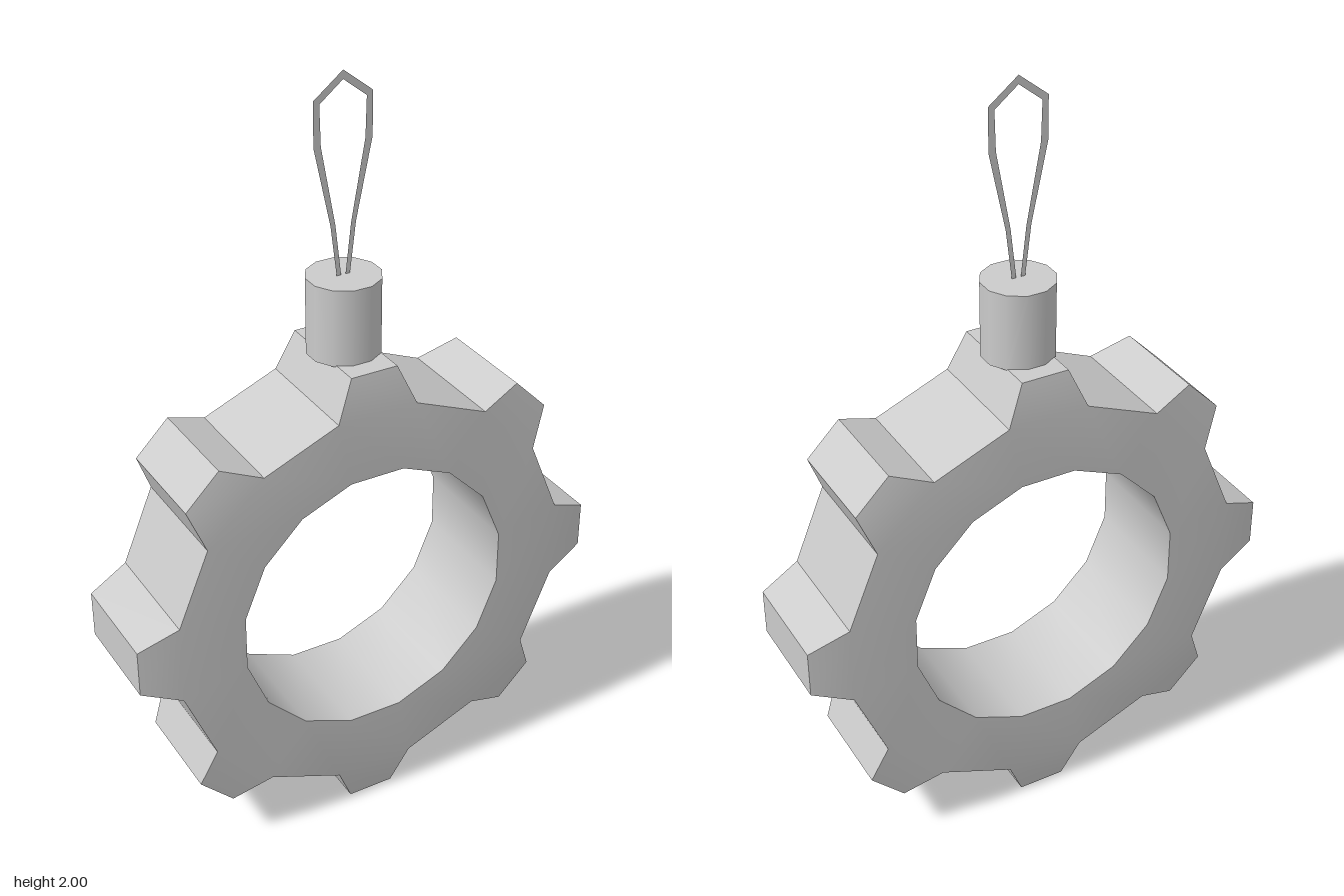
import * as THREE from 'three';
import { toCreasedNormals } from 'three/addons/utils/BufferGeometryUtils.js';

const material = new THREE.MeshStandardMaterial({ color: 0xcccccc });
const thinMaterial = new THREE.MeshStandardMaterial({ color: 0xcccccc, side: THREE.DoubleSide });

const TEETH = 8;
const INNER = 0.377, ROOT = 0.556, TIP = 0.653; // radii
const ROOT_Z = 0.16, TIP_Z = 0.14;              // half depths
const TIP_ANGLE = 0.0965;                       // half angle of a tooth tip

// Toothed ring, one of 16 segments at a time; every other segment carries a tooth
function gearGeometry() {
  const positions = [];
  const point = (r, a, z) => [r * Math.cos(a), r * Math.sin(a), z];
  const quad = (p, q, r, s) => positions.push(...p, ...q, ...r, ...p, ...r, ...s);
  const step = Math.PI / TEETH;

  for (let i = 0; i < TEETH * 2; i++) {
    const mid = i * step, a = mid - step / 2, b = mid + step / 2;
    const corners = (r, from, to, z) => ({
      a0: point(r, from, -z), a1: point(r, from, z),
      b0: point(r, to, -z), b1: point(r, to, z),
    });
    const inner = corners(INNER, a, b, ROOT_Z);
    const root = corners(ROOT, a, b, ROOT_Z);

    // Front, back and hole wall
    quad(inner.a1, root.a1, root.b1, inner.b1);
    quad(inner.b0, root.b0, root.a0, inner.a0);
    quad(inner.a1, inner.b1, inner.b0, inner.a0);

    if (i % 2) {
      // Valley between teeth
      quad(root.a0, root.b0, root.b1, root.a1);
    } else {
      // Tooth tapering in width and depth
      const tip = corners(TIP, mid - TIP_ANGLE, mid + TIP_ANGLE, TIP_Z);
      quad(root.a1, tip.a1, tip.b1, root.b1);
      quad(root.b0, tip.b0, tip.a0, root.a0);
      quad(tip.a0, tip.b0, tip.b1, tip.a1);
      quad(root.b0, root.b1, tip.b1, tip.b0);
      quad(root.a1, root.a0, tip.a0, tip.a1);
    }
  }
  const geometry = new THREE.BufferGeometry();
  geometry.setAttribute('position', new THREE.Float32BufferAttribute(positions, 3));
  return toCreasedNormals(geometry, 0.5);
}

// Flat hanging loop: right half outline, mirrored, open at the bottom
function loopGeometry() {
  const outer = [[0.018, 1.5], [0.034, 1.63], [0.077, 1.83], [0.077, 1.94], [0, 2]];
  const inner = [[0, 1.978], [0.061, 1.93], [0.058, 1.83], [0.021, 1.63], [0.006, 1.5]];
  const mirror = (pts) => pts.map(([x, y]) => [-x, y]).reverse();
  const outline = [
    ...outer, ...mirror(outer).slice(1),
    ...mirror(inner), ...inner.slice(1),
  ];
  return new THREE.ShapeGeometry(new THREE.Shape(outline.map(([x, y]) => new THREE.Vector2(x, y))));
}

export function createModel() {
  const model = new THREE.Group();
  model.name = 'gearPendant';

  const add = (name, geometry, mat, x, y, z = 0) => {
    const mesh = new THREE.Mesh(geometry, mat);
    mesh.name = name;
    mesh.position.set(x, y, z);
    model.add(mesh);
    return mesh;
  };

  add('gearRing', gearGeometry(), material, 0, 0.653);

  // Round mount on the top tooth
  const mount = add('mount', new THREE.CylinderGeometry(0.094, 0.094, 0.2, 12), material, -0.003, 1.4, -0.002);
  mount.rotation.y = Math.PI / 12;

  add('hangingLoop', loopGeometry(), thinMaterial, -0.005, 0);

  return model;
}
